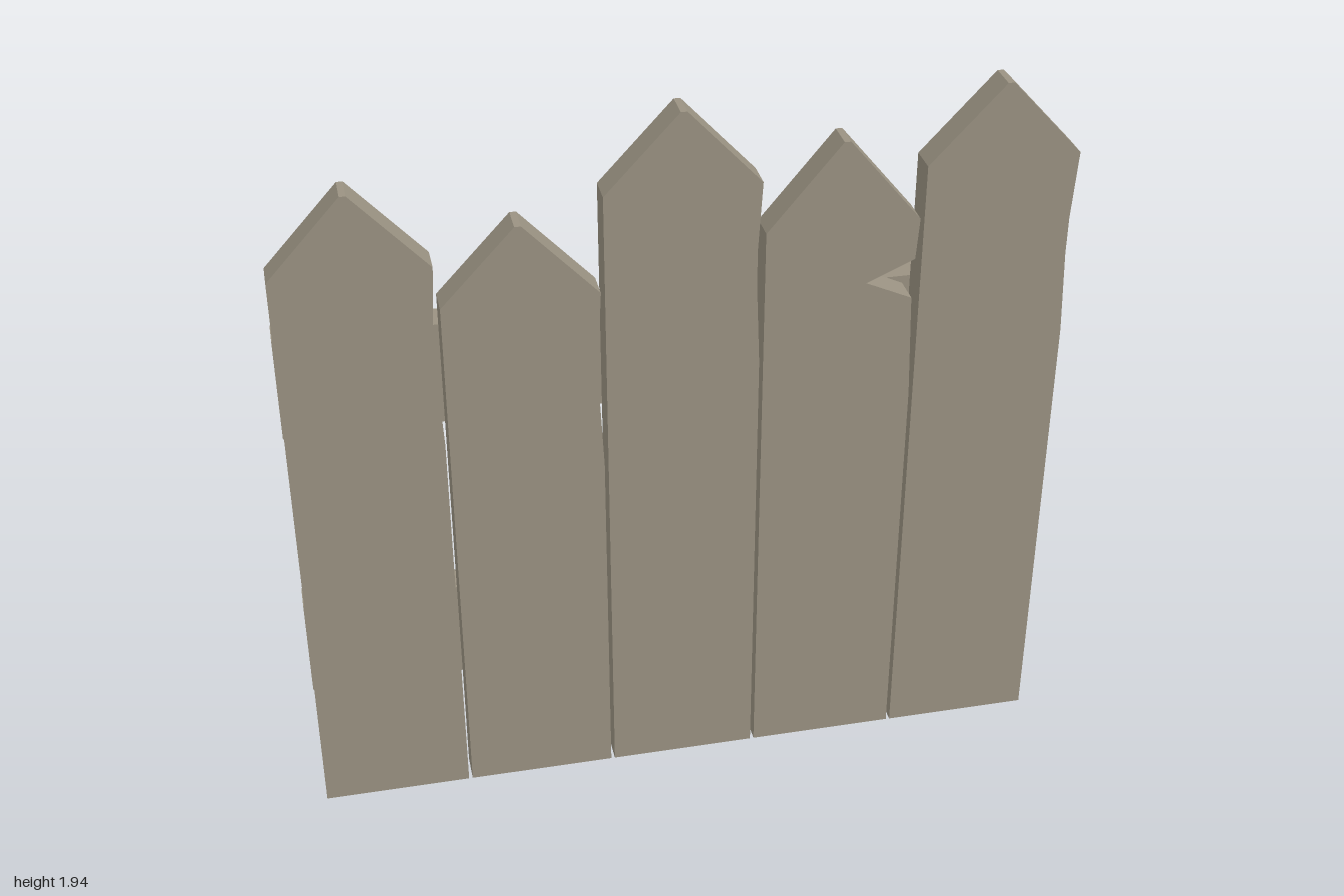
import * as THREE from 'three';

const DEPTH = 0.08;

export function createModel() {
  const fence = new THREE.Group();
  fence.name = 'fence';
  const wood = new THREE.MeshStandardMaterial({ color: 0x9a9282 });
  wood.name = 'weathered wood';

  // Pointed plank with a slightly worn right edge, optionally with a broken notch
  function addPlank(name, x, shoulder, peak, notched) {
    const half = 0.195;
    const edge = notched
      ? [[half - 0.01, 1.38], [0.065, 1.435], [half - 0.007, 1.49]]
      : [[half - 0.01, shoulder - 0.28], [half - 0.01, shoulder - 0.18]];
    const outline = [
      [-half, 0], [half, 0], [half, shoulder - 0.5],
      ...edge,
      [half, shoulder], [0.008, peak], [-0.008, peak], [-half, shoulder],
    ];
    const shape = new THREE.Shape(outline.map(([px, py]) => new THREE.Vector2(px, py)));
    const geometry = new THREE.ExtrudeGeometry(shape, { depth: DEPTH, bevelEnabled: false });
    const plank = new THREE.Mesh(geometry, wood);
    plank.name = name;
    plank.position.x = x;
    fence.add(plank);
  }

  // Five upright planks: shoulder height, peak height, notch
  [
    [1.6, 1.805, false],
    [1.485, 1.685, false],
    [1.74, 1.94, false],
    [1.6, 1.825, true],
    [1.74, 1.94, false],
  ].forEach(([shoulder, peak, notched], i) => {
    addPlank(`plank${i + 1}`, -0.8 + i * 0.4 - 0.002, shoulder, peak, notched);
  });

  // Two horizontal rails across the back
  [['lowerRail', 0.46], ['upperRail', 1.26]].forEach(([name, y]) => {
    const rail = new THREE.Mesh(new THREE.BoxGeometry(2, 0.28, DEPTH), wood);
    rail.name = name;
    rail.position.set(0, y, -DEPTH / 2);
    fence.add(rail);
  });

  return fence;
}
